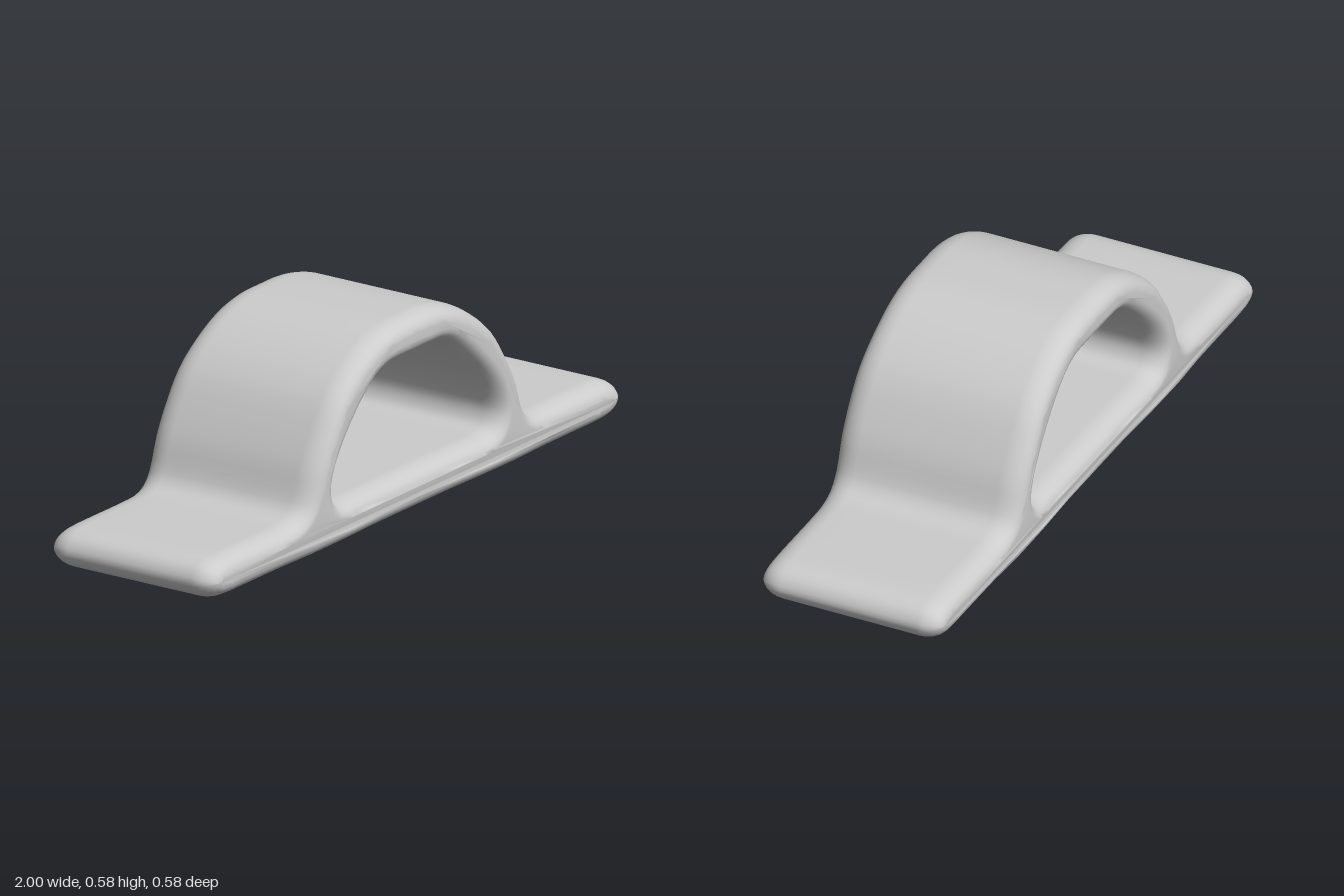
import * as THREE from 'three';
import { mergeVertices } from 'three/addons/utils/BufferGeometryUtils.js';

// Right half of the outer outline, from the bottom centre up to the crown
const OUTER = [
  [0, 0], [0.5, 0], [0.85, 0], [0.9, 0.001], [0.945, 0.006], [0.983, 0.025], [1, 0.06],
  [0.983, 0.095], [0.945, 0.114], [0.9, 0.119], [0.85, 0.12], [0.65, 0.12], [0.6, 0.122],
  [0.555, 0.134], [0.525, 0.165], [0.49, 0.255], [0.44, 0.345], [0.38, 0.43], [0.3, 0.497],
  [0.2, 0.55], [0.1, 0.574], [0, 0.577],
];
// Right half of the opening under the arch
const INNER = [
  [0, 0.122], [0.3, 0.122], [0.345, 0.123], [0.382, 0.137], [0.399, 0.175], [0.39, 0.22],
  [0.355, 0.28], [0.275, 0.365], [0.185, 0.437], [0.13, 0.457], [0.08, 0.46], [0, 0.46],
];

// Mirrors a half outline and smooths it into a closed loop
function loop(half, samples) {
  const mirrored = half.slice(1, -1).reverse().map(([x, y]) => [-x, y]);
  const points = [...half, ...mirrored].map(([x, y]) => new THREE.Vector3(x, y, 0));
  const curve = new THREE.CatmullRomCurve3(points, true, 'centripetal');
  return curve.getPoints(samples).slice(0, -1)
    .map((p) => new THREE.Vector2(p.x, Math.max(0, p.y)));
}

export function createModel() {
  const group = new THREE.Group();
  const grey = new THREE.MeshStandardMaterial({ color: 0xcccccc });
  grey.name = 'light grey';

  // Flat base and arch in one profile, with soft rounded rims
  const profile = new THREE.Shape(loop(OUTER, OUTER.length * 2 * 3 - 6));
  profile.holes.push(new THREE.Path(loop(INNER, INNER.length * 2 * 3 - 6)));
  const rim = 0.07, halfDepth = 0.282;
  let geometry = new THREE.ExtrudeGeometry(profile, {
    depth: 2 * (halfDepth - rim),
    steps: 4,
    bevelEnabled: true,
    bevelThickness: rim,
    bevelSize: 0.045,
    bevelOffset: -0.045,
    bevelSegments: 6,
  });
  geometry.translate(0, 0, rim - halfDepth);

  // Slight swelling of the sides where the arch meets the base
  const pos = geometry.attributes.position;
  for (let i = 0; i < pos.count; i++) {
    const d = (Math.abs(pos.getX(i)) - 0.43) / 0.13;
    pos.setZ(i, pos.getZ(i) * (1 + 0.03 * Math.exp(-d * d)));
  }

  // Shared vertices give smooth normals all over
  geometry.deleteAttribute('uv');
  geometry.deleteAttribute('normal');
  geometry.clearGroups();
  geometry = mergeVertices(geometry, 1e-4);
  geometry.computeVertexNormals();

  const handle = new THREE.Mesh(geometry, grey);
  handle.name = 'archedHandleWithBase';
  group.add(handle);
  return group;
}
